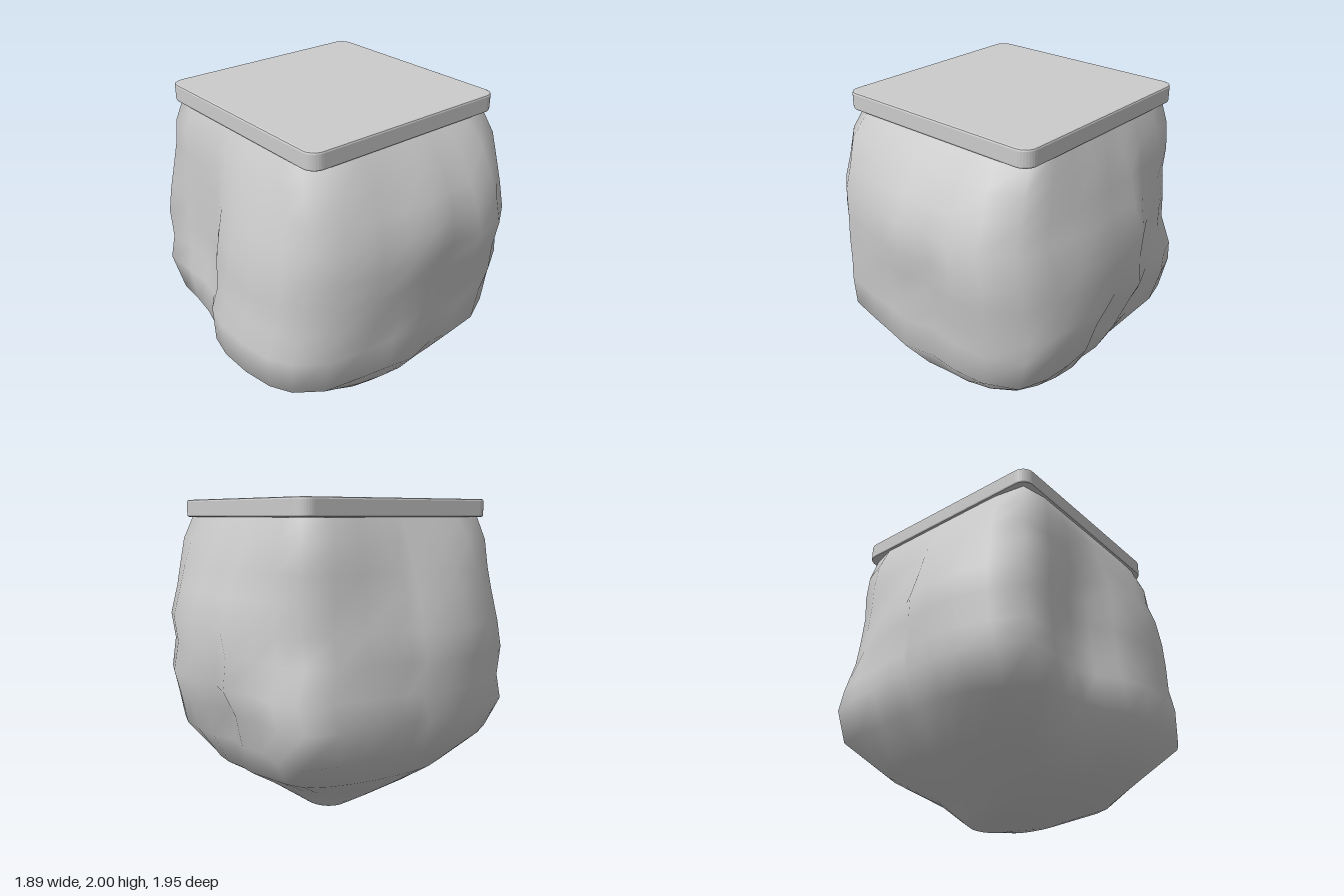
import * as THREE from 'three';

const material = new THREE.MeshStandardMaterial({ color: 0xcccccc });

// Lumpy plan outline [x, z] at the widest part, going round once
const plan = [
  [0.89, 0.01], [0.94, 0.2], [0.9, 0.4], [0.86, 0.58], [0.79, 0.77], [0.6, 0.9], [0.38, 0.93],
  [0.18, 0.9], [-0.03, 0.97], [-0.2, 0.92], [-0.4, 0.87], [-0.64, 0.82], [-0.81, 0.71],
  [-0.9, 0.58], [-0.945, 0.37], [-0.945, 0.13], [-0.9, -0.06], [-0.81, -0.2], [-0.79, -0.38],
  [-0.79, -0.58], [-0.79, -0.82], [-0.58, -0.91], [-0.37, -0.97], [-0.18, -0.98], [0.01, -0.96],
  [0.09, -0.92], [0.2, -0.94], [0.4, -0.89], [0.6, -0.86], [0.8, -0.79], [0.84, -0.6], [0.84, -0.37],
  [0.94, -0.19],
];

// Rows: y, left x, right x, back z, front z, squareness, share of the lumpy outline
const rows = [
  [0.0, -0.03, 0.23, -0.22, 0.08, 2, 0],
  [0.05, -0.22, 0.3, -0.29, 0.33, 2.8, 0],
  [0.16, -0.56, 0.46, -0.45, 0.6, 2.4, 0.1],
  [0.31, -0.74, 0.72, -0.68, 0.75, 2.5, 0.3],
  [0.51, -0.95, 0.85, -0.88, 0.9, 2.8, 0.7],
  [0.72, -0.95, 0.9, -0.965, 0.91, 3.2, 0.85],
  [0.88, -0.91, 0.95, -0.95, 0.94, 3.5, 0.9],
  [1.07, -0.9, 0.92, -0.975, 0.97, 4, 0.9],
  [1.24, -0.88, 0.94, -0.955, 0.99, 4, 0.9],
  [1.43, -0.84, 0.87, -0.9, 0.965, 5, 0.7],
  [1.58, -0.79, 0.83, -0.85, 0.89, 7, 0.5],
  [1.75, -0.74, 0.77, -0.78, 0.79, 10, 0.15],
  [1.9, -0.67, 0.71, -0.71, 0.67, 14, 0],
];

// Bulges (+) and dents (-): x, y, z, radius, amount
const lumps = [
  // front
  [0, 1.03, 0.95, 0.23, -0.045], [-0.5, 0.85, 0.85, 0.25, 0.04],
  // left side
  [0.87, 0.58, -0.03, 0.27, -0.08], [0.85, 0.9, -0.5, 0.2, 0.015], [0.83, 0.72, 0.6, 0.25, 0.03],
  // right side
  [-0.82, 1.05, -0.4, 0.3, -0.03], [-0.8, 0.6, -0.4, 0.3, -0.05],
  // back
  [0.35, 1.05, -0.9, 0.25, -0.04], [0.3, 1.45, -0.85, 0.2, -0.03],
  // corners
  [0.8, 1.2, -0.8, 0.28, -0.09], [0.72, 0.53, -0.68, 0.26, 0.08], [0.72, 0.5, 0.72, 0.25, 0.05],
  [-0.75, 0.6, 0.7, 0.25, 0.04], [-0.67, 0.48, -0.67, 0.26, -0.04],
];

function createRock() {
  const n = plan.length;
  const positions = [];
  const index = [];
  for (const [y, x0, x1, z0, z1, power, lumpy] of rows) {
    for (const [px, pz] of plan) {
      const a = Math.atan2(pz / 0.975, px / 0.943);
      const c = Math.cos(a), s = Math.sin(a);
      const r = (Math.abs(c) ** power + Math.abs(s) ** power) ** (-1 / power);
      const u = THREE.MathUtils.lerp(c * r, px / 0.943, lumpy);
      const v = THREE.MathUtils.lerp(s * r, pz / 0.975, lumpy);
      const x = (x0 + x1) / 2 + u * (x1 - x0) / 2;
      const z = (z0 + z1) / 2 + v * (z1 - z0) / 2;
      let push = 0;
      for (const [lx, ly, lz, radius, amount] of lumps) {
        const d2 = (x - lx) ** 2 + (y - ly) ** 2 + (z - lz) ** 2;
        push += amount * Math.exp(-d2 / radius ** 2);
      }
      positions.push(x + c * push, y, z + s * push);
    }
  }
  // Skin between neighbouring rows
  for (let j = 0; j < rows.length - 1; j++) {
    for (let i = 0; i < n; i++) {
      const a = j * n + i, b = j * n + (i + 1) % n;
      index.push(a, a + n, b, b, a + n, b + n);
    }
  }
  // Close the underside; the slab covers the top
  const bottom = positions.length / 3;
  positions.push(0.1, 0, -0.07);
  for (let i = 0; i < n; i++) index.push(bottom, i, (i + 1) % n);
  const geometry = new THREE.BufferGeometry();
  geometry.setAttribute('position', new THREE.Float32BufferAttribute(positions, 3));
  geometry.setIndex(index);
  geometry.computeVertexNormals();
  const rock = new THREE.Mesh(geometry, material);
  rock.name = 'rockBody';
  return rock;
}

// Flat square slab with rounded corners and a slight bevel
function createSlab() {
  const bevel = 0.012, h = 0.71 - bevel, r = 0.07;
  const shape = new THREE.Shape();
  shape.absarc(h - r, h - r, r, 0, Math.PI / 2);
  shape.absarc(-h + r, h - r, r, Math.PI / 2, Math.PI);
  shape.absarc(-h + r, -h + r, r, Math.PI, Math.PI * 1.5);
  shape.absarc(h - r, -h + r, r, Math.PI * 1.5, Math.PI * 2);
  shape.closePath();
  const geometry = new THREE.ExtrudeGeometry(shape, {
    depth: 0.11 - 2 * bevel, bevelThickness: bevel, bevelSize: bevel, bevelSegments: 2, curveSegments: 4,
  });
  geometry.rotateX(-Math.PI / 2);
  const slab = new THREE.Mesh(geometry, material);
  slab.position.set(0.02, 1.89 + bevel, -0.02);
  slab.name = 'topSlab';
  return slab;
}

export function createModel() {
  const group = new THREE.Group();
  group.name = 'rockPedestal';
  group.add(createRock(), createSlab());
  return group;
}
